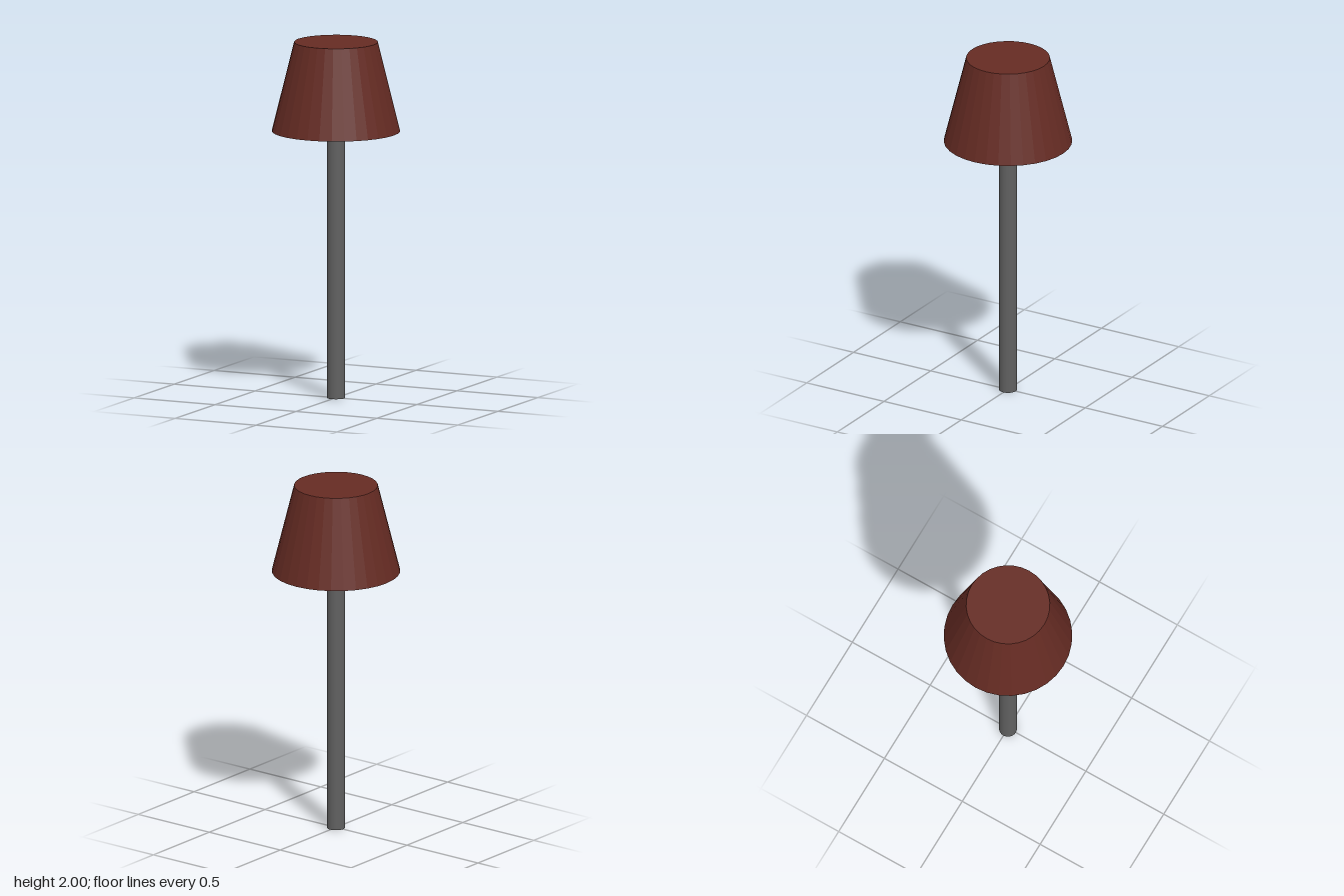
import * as THREE from 'three';

export function createModel() {
  const model = new THREE.Group();

  // Upright cylinder part spanning bottom to top
  function addPart(name, topRadius, bottomRadius, bottom, top, color, flatShading) {
    const geometry = new THREE.CylinderGeometry(topRadius, bottomRadius, top - bottom, 32);
    const material = new THREE.MeshStandardMaterial({ color, flatShading });
    const mesh = new THREE.Mesh(geometry, material);
    mesh.name = name;
    mesh.position.y = (bottom + top) / 2;
    model.add(mesh);
  }

  // Slim pole standing on the ground
  addPart('pole', 0.05, 0.05, 0, 1.5, 0x606060, false);

  // Closed, faceted tapering shade
  addPart('shade', 0.232, 0.356, 1.5, 2, 0x652b23, true);

  return model;
}
